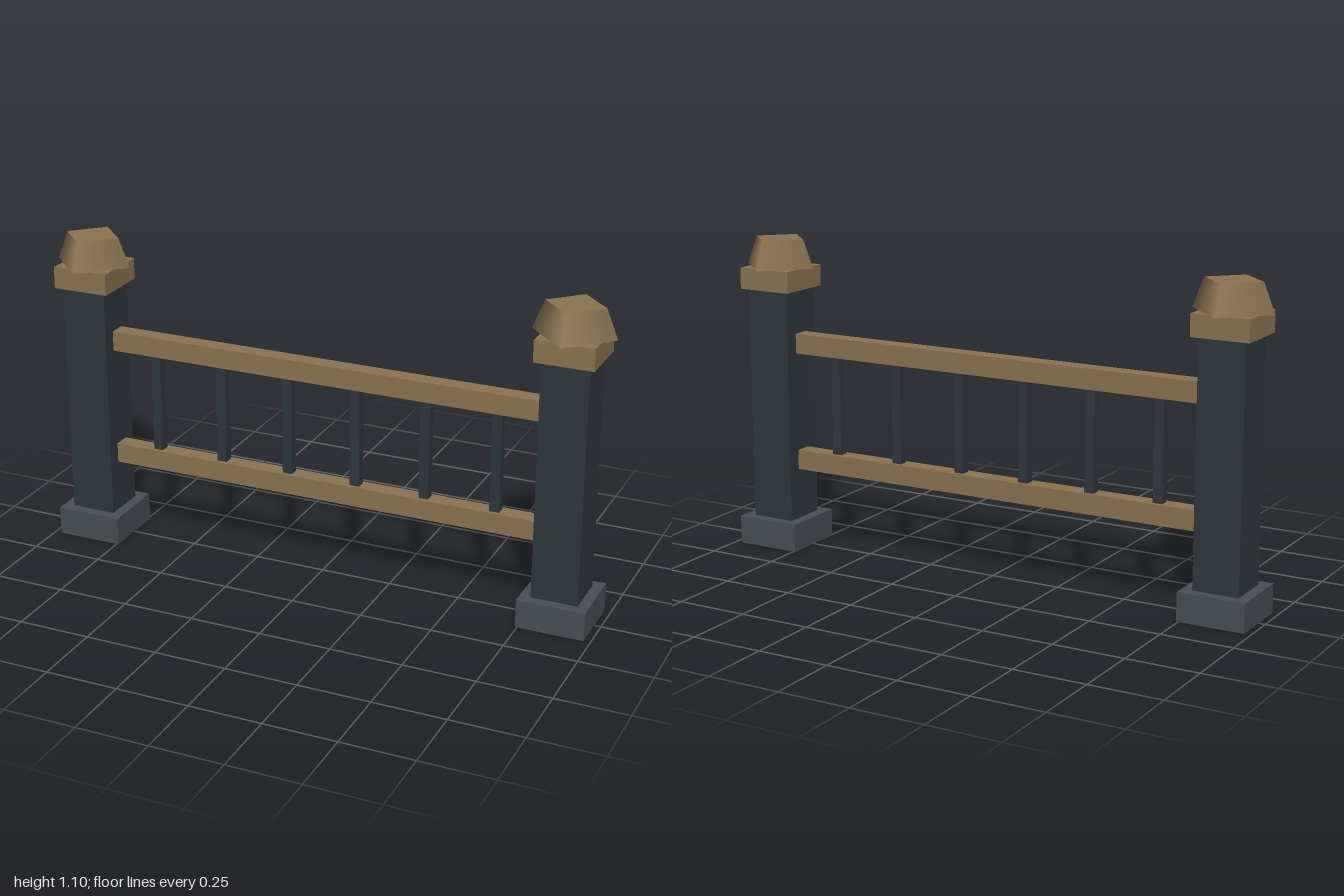
import * as THREE from 'three';

export function createModel() {
  const model = new THREE.Group();
  model.name = 'fence';

  const wood = new THREE.MeshStandardMaterial({ color: 0x8b7350 });
  const dark = new THREE.MeshStandardMaterial({ color: 0x2f373d });
  const stone = new THREE.MeshStandardMaterial({ color: 0x484e54 });

  const add = (parent, name, geometry, material, x, y) => {
    const mesh = new THREE.Mesh(geometry, material);
    mesh.name = name;
    mesh.position.set(x, y, 0);
    parent.add(mesh);
  };
  // Box standing between two heights, centred on z
  const box = (parent, name, material, x, y0, y1, w, d) =>
    add(parent, name, new THREE.BoxGeometry(w, y1 - y0, d), material, x, (y0 + y1) / 2);

  // End posts: plinth, shaft, collar and a four-sided cap turned by 45 degrees
  for (const side of [-1, 1]) {
    const post = new THREE.Group();
    post.name = side < 0 ? 'rightPost' : 'leftPost';
    post.position.x = side * 0.86;
    box(post, 'plinth', stone, 0, 0, 0.1, 0.234, 0.234);
    box(post, 'shaft', dark, 0, 0.05, 0.95, 0.16, 0.16);
    box(post, 'collar', wood, 0, 0.925, 1, 0.2, 0.2);
    add(post, 'cap', new THREE.CylinderGeometry(0.1, 0.14, 0.1, 4), wood, 0, 1.05);
    model.add(post);
  }

  // Rails, let into the posts
  box(model, 'bottomRail', wood, 0, 0.28, 0.35, 1.58, 0.06);
  box(model, 'topRail', wood, 0, 0.7, 0.77, 1.58, 0.06);

  // Balusters between the rails
  for (let i = 0; i < 6; i++) {
    box(model, 'baluster', dark, (i - 2.5) * 0.249, 0.34, 0.71, 0.034, 0.034);
  }
  return model;
}
